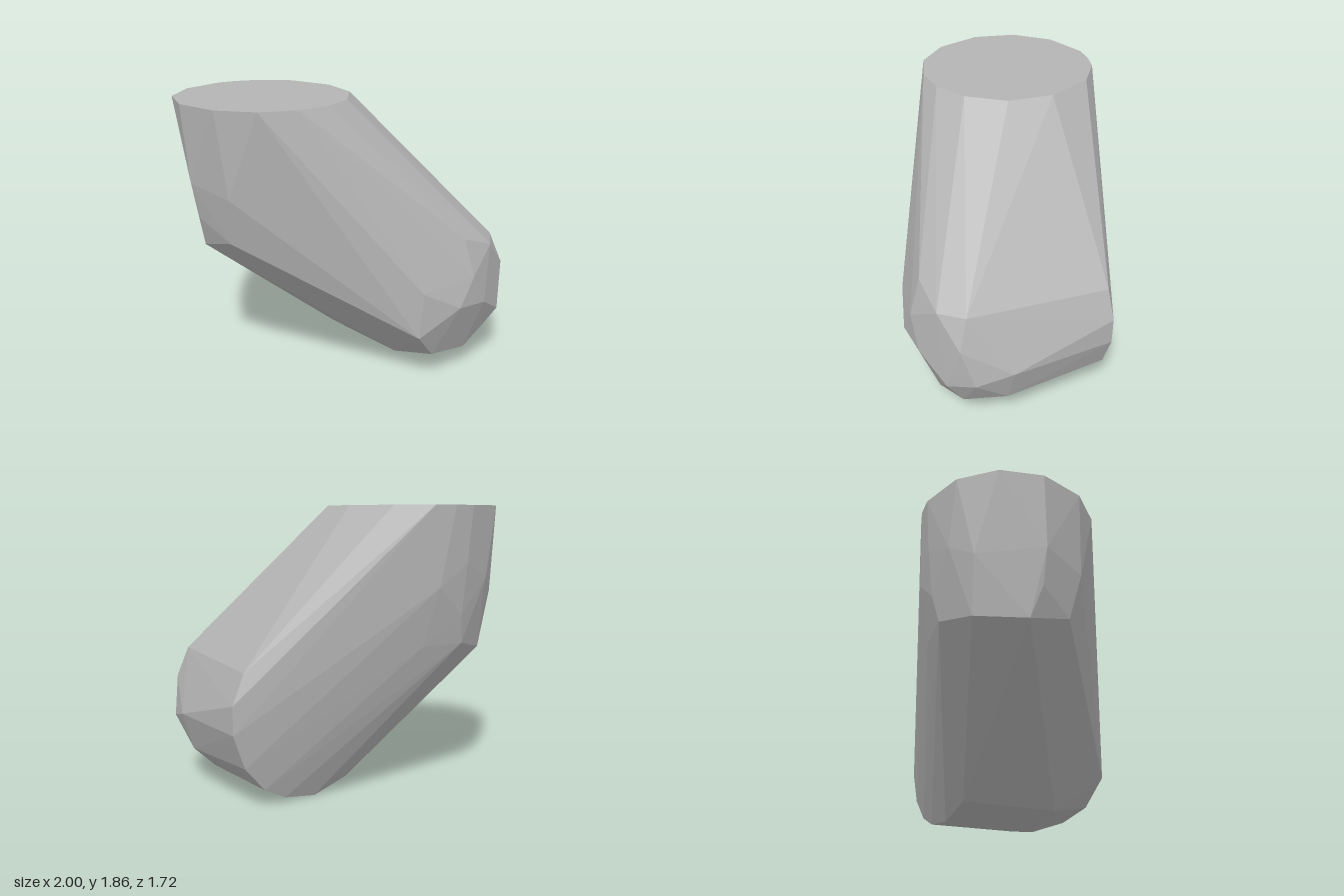
import * as THREE from 'three';
import { ConvexGeometry } from 'three/addons/geometries/ConvexGeometry.js';

export function createModel() {
  const grey = new THREE.MeshStandardMaterial({ color: 0xb4b4b4 });
  grey.name = 'stone grey';

  // flat top rim, as [x, z]
  const topY = 1.86;
  const topRim = [
    [-0.41, -0.86], [-0.70, -0.79], [-0.91, -0.6], [-1, -0.33], [-0.94, -0.03],
    [-0.77, 0.18], [-0.54, 0.28], [-0.33, 0.28], [-0.11, 0.19], [0.08, -0.02],
    [0.135, -0.31], [0.04, -0.62], [-0.15, -0.79], [-0.28, -0.84],
  ].map(([x, z]) => [x, topY, z]);

  // flat back rim of the lower end, as [x, y]
  const backZ = -0.28;
  const backRim = [
    [0.92, 0.87], [1, 0.68], [1, 0.5], [0.92, 0.28], [0.78, 0.12],
    [0.63, 0.04], [0.4, 0.005], [0.14, 0.08], [0, 0.2],
  ].map(([x, y]) => [x, y, backZ]);

  // rounded front of the lower end
  const frontBulge = [
    [0.42, 0.74, 0.85], [0.3, 0.55, 0.855], [0.53, 0.53, 0.85],
    [0.06, 0.68, 0.76], [0.04, 0.37, 0.75], [0.2, 0.19, 0.71], [0.5, 0.15, 0.71],
    [0.76, 0.39, 0.77], [0.65, 0.89, 0.77], [0.4, 0.98, 0.77],
    [0.84, 0.7, 0.71], [0.79, 0.9, 0.64], [0.9, 0.44, 0.64], [0.74, 0.2, 0.65],
    [0.97, 0.5, 0.41], [0.89, 0.25, 0.41], [0.73, 0.1, 0.41], [0.44, 0.03, 0.41],
    [0.14, 0.11, 0.41],
  ];

  // rounded underside of the upper end
  const rearBulge = [
    [-0.84, 0.99, -0.07], [-0.86, 0.91, -0.36], [-0.7, 0.92, -0.66],
    [-0.44, 0.98, -0.755], [-0.15, 0.975, -0.7], [-0.02, 0.98, -0.57], [0.06, 1.01, -0.38],
    [-0.97, 1.36, -0.3], [-0.92, 1.12, -0.3], [-0.88, 1.3, 0],
    [-0.4, 1.17, -0.79], [-0.4, 1.5, -0.83], [-0.77, 1.3, -0.69],
    [-0.62, 1.4, -0.79], [-0.2, 1.35, -0.79], [-0.03, 1.3, -0.68], [0.08, 1.3, -0.5],
  ];

  // one convex skin around both ends
  const points = [...topRim, ...backRim, ...frontBulge, ...rearBulge]
    .map((p) => new THREE.Vector3(...p));
  const body = new THREE.Mesh(new ConvexGeometry(points), grey);
  body.name = 'slantedBody';

  const model = new THREE.Group();
  model.name = 'facetedBlock';
  model.add(body);
  return model;
}
